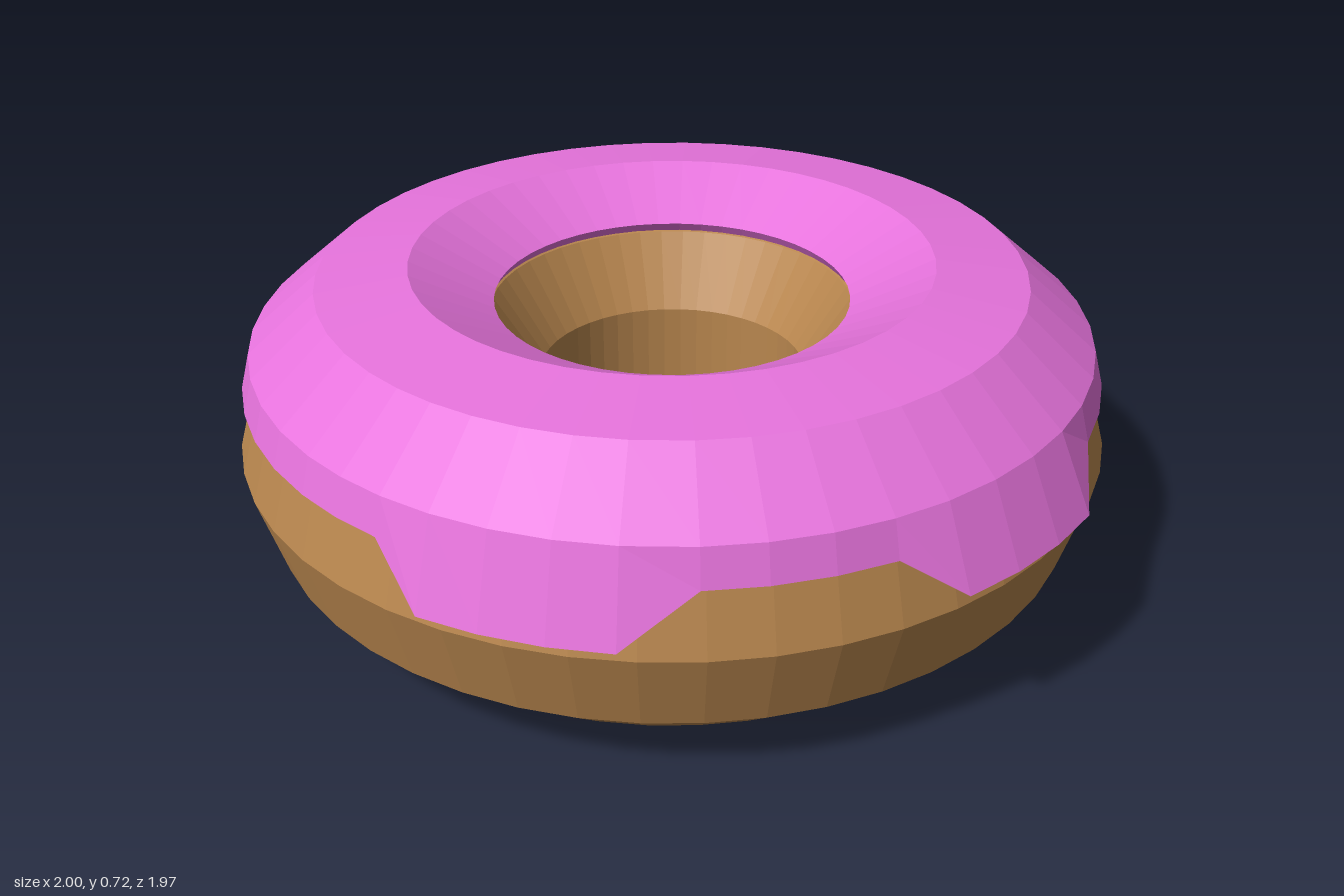
import * as THREE from 'three';

const material = (color) => new THREE.MeshStandardMaterial({ color, flatShading: true, side: THREE.DoubleSide });

// Dough ring: an eleven-sided tube section swept around the hole
function makeDough() {
  const profile = [];
  for (let i = 0; i <= 11; i++) {
    const a = (i % 11) / 11 * Math.PI * 2;
    profile.push(new THREE.Vector2(0.635 + 0.345 * Math.cos(a), 0.345 + 0.345 * Math.sin(a)));
  }
  const mesh = new THREE.Mesh(new THREE.LatheGeometry(profile, 48), material(0xb8864e));
  mesh.name = 'dough';
  return mesh;
}

// Icing: a thin cap whose outer rim is pulled down into three drips
function makeIcing() {
  const rim = { y: 0.49, r: 0.962 };
  const profile = [
    [rim.r - 0.035, rim.y], [rim.r, rim.y], [0.94, 0.57], [0.788, 0.7],
    [0.584, 0.725], [0.4, 0.63], [0.425, 0.59],
  ].map(([r, y]) => new THREE.Vector2(r, y));

  // Drips: start, full depth from, full depth to, end (degrees from the front), tip radius and height
  const drips = [
    { at: [13.3, 20.4, 43, 51.8], r: 1.005, y: 0.38 },
    { at: [74.5, 82, 104.5, 112], r: 1.018, y: 0.4 },
    { at: [143.5, 151, 174, 181.5], r: 0.995, y: 0.415 },
  ];

  // Segment angles: corners of the drips, with even steps between them
  const stations = [{ deg: 0, ...rim }];
  const advance = (deg, steps, target) => {
    const from = stations[stations.length - 1].deg;
    for (let k = 1; k <= steps; k++) {
      stations.push({ deg: from + (deg - from) * k / steps, r: target.r, y: target.y });
    }
  };
  for (const d of drips) {
    const last = stations[stations.length - 1].deg;
    advance(d.at[0], Math.round((d.at[0] - last) / 7.5), rim);
    advance(d.at[1], 1, d);
    advance(d.at[2], 3, d);
    advance(d.at[3], 1, rim);
  }
  advance(360, 24, rim);

  const geometry = new THREE.LatheGeometry(profile, stations.length - 1);
  const pos = geometry.attributes.position;
  stations.forEach((s, i) => {
    const a = THREE.MathUtils.degToRad(s.deg);
    profile.forEach((p, j) => {
      const r = j === 0 ? s.r - 0.035 : j === 1 ? s.r : p.x;
      const y = j < 2 ? s.y : p.y;
      pos.setXYZ(i * profile.length + j, r * Math.sin(a), y, r * Math.cos(a));
    });
  });
  geometry.computeVertexNormals();
  const mesh = new THREE.Mesh(geometry, material(0xe673dc));
  mesh.name = 'icing';
  return mesh;
}

export function createModel() {
  const group = new THREE.Group();
  group.name = 'doughnut';
  group.add(makeDough(), makeIcing());
  // The drips widen one side, so the ring sits slightly off centre
  group.children.forEach((m) => m.position.set(-0.02, 0, 0.003));
  return group;
}
